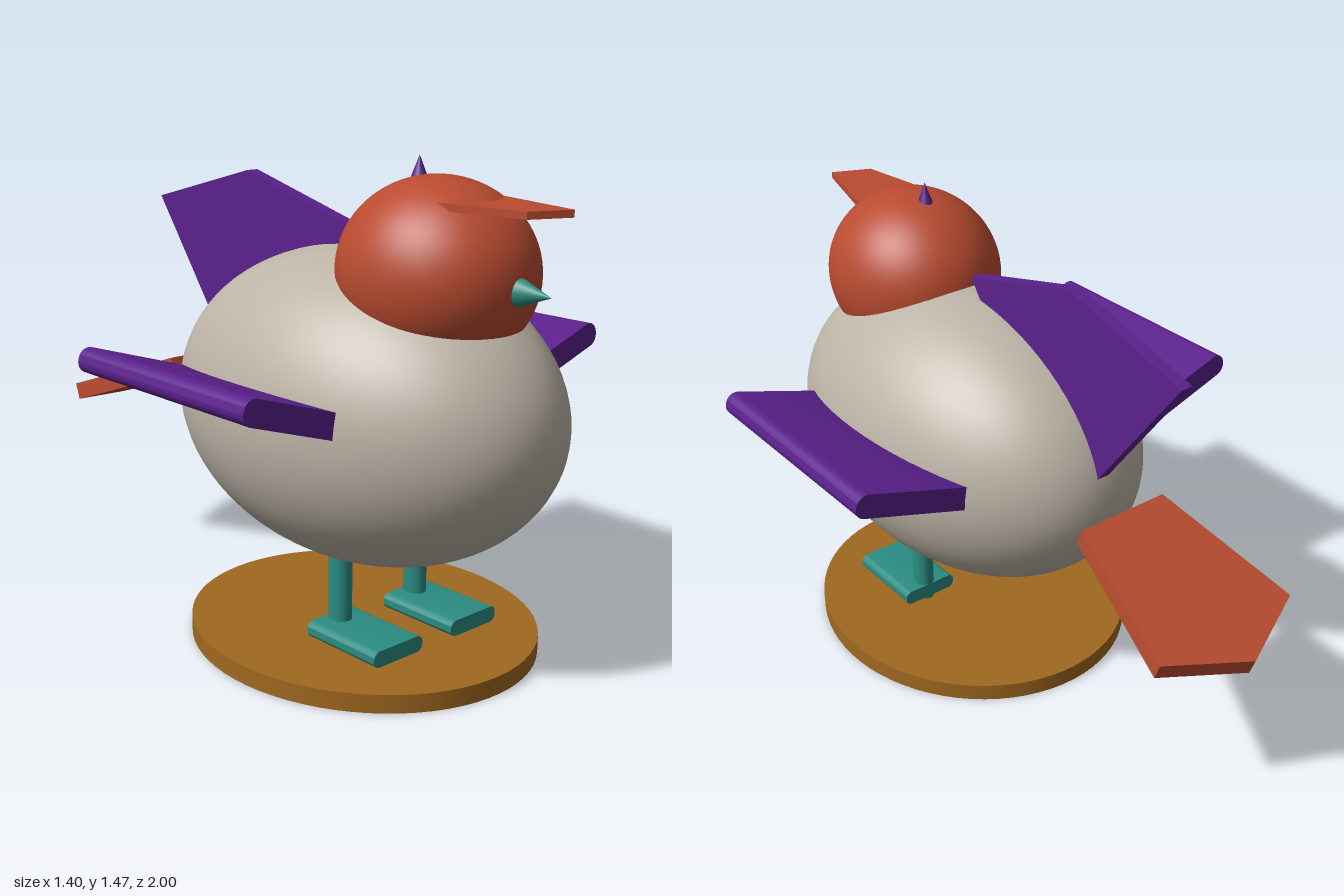
import * as THREE from 'three';
import { toCreasedNormals } from 'three/addons/utils/BufferGeometryUtils.js';

const paint = (name, color) => {
  const m = new THREE.MeshStandardMaterial({ color });
  m.name = name;
  return m;
};

// Flat plate cut from a polygon outline
const plate = (points, depth) => new THREE.ExtrudeGeometry(
  new THREE.Shape(points.map(([x, y]) => new THREE.Vector2(x, y))),
  { depth, bevelEnabled: false });

// Bar with a rounded rectangular section, running along z
function roundedBar(w, h, r, depth) {
  const x = w / 2 - r, y = h / 2 - r, s = new THREE.Shape();
  s.absarc(x, y, r, 0, Math.PI / 2);
  s.absarc(-x, y, r, Math.PI / 2, Math.PI);
  s.absarc(-x, -y, r, Math.PI, Math.PI * 1.5);
  s.absarc(x, -y, r, Math.PI * 1.5, Math.PI * 2);
  s.closePath();
  const g = new THREE.ExtrudeGeometry(s, { depth, bevelEnabled: false, curveSegments: 8 });
  return toCreasedNormals(g, 0.6);
}

const ellipsoid = (rx, ry, rz) => new THREE.SphereGeometry(1, 64, 40).scale(rx, ry, rz);

export function createModel() {
  const model = new THREE.Group();
  const stone = paint('warm grey', 0xbcb3a6);
  const rust = paint('rust red', 0xb94b30);
  const purple = paint('purple', 0x5b218c);
  const teal = paint('teal', 0x2b8c82);
  const wood = paint('wood brown', 0xa0681f);

  const add = (name, geometry, material, x, y, z) => {
    const mesh = new THREE.Mesh(geometry, material);
    mesh.name = name;
    mesh.position.set(x, y, z);
    model.add(mesh);
    return mesh;
  };

  // Oval stand
  add('base', new THREE.CylinderGeometry(1, 1, 0.055, 72).scale(0.5, 1, 0.553), wood, 0, 0.0275, 0.293);

  // Body and head
  add('body', ellipsoid(0.451, 0.465, 0.674), stone, 0, 0.73, 0.292);
  add('head', ellipsoid(0.267, 0.265, 0.295), rust, 0, 1.155, 0.57);

  // Beak points forward, spike points up
  const beak = new THREE.ConeGeometry(1, 0.13, 32).rotateX(Math.PI / 2).scale(0.042, 0.048, 1);
  add('beak', beak, teal, 0, 1.14, 0.9);
  add('crownSpike', new THREE.ConeGeometry(1, 0.1, 32).scale(0.036, 1, 0.041), purple, 0, 1.417, 0.495);

  // Lopsided brow plate emerging from the head
  const brow = plate([[-0.14, 0.6], [0.14, 0.6], [0.113, 0.7], [0.03, 1.0], [-0.09, 0.948]], 0.02);
  add('browPlate', brow, rust, 0, 1.365, 0).rotation.x = Math.PI / 2;

  // Upright back fin, outlined in z and y
  const fin = plate([[-0.31, 0.75], [-0.13, 0.75], [0.235, 1.25], [-0.22, 1.37], [-0.677, 1.25]], 0.04);
  add('backFin', fin, purple, 0.02, 0, 0).rotation.y = -Math.PI / 2;

  // Tail slopes down behind the body
  const tail = plate([[-0.155, 0], [0.155, 0], [0.25, 0.462], [0, 0.579], [-0.25, 0.462]], 0.055);
  add('tail', tail, rust, 0, 0.7, -0.437).rotation.x = -Math.PI / 2 - 0.344;

  // Mirrored wings, legs and feet
  for (const [side, s] of [['left', 1], ['right', -1]]) {
    add(side + 'Wing', roundedBar(0.5, 0.074, 0.035, 0.74), purple, s * 0.46, 0.817, -0.15)
      .rotation.z = s * 0.314;
    add(side + 'Leg', new THREE.CylinderGeometry(1, 1, 0.35, 32).scale(0.033, 1, 0.037), teal,
      s * 0.157, 0.23, 0.362);
    add(side + 'Foot', roundedBar(0.193, 0.049, 0.022, 0.28), teal, s * 0.157, 0.09, 0.325);
  }
  return model;
}
